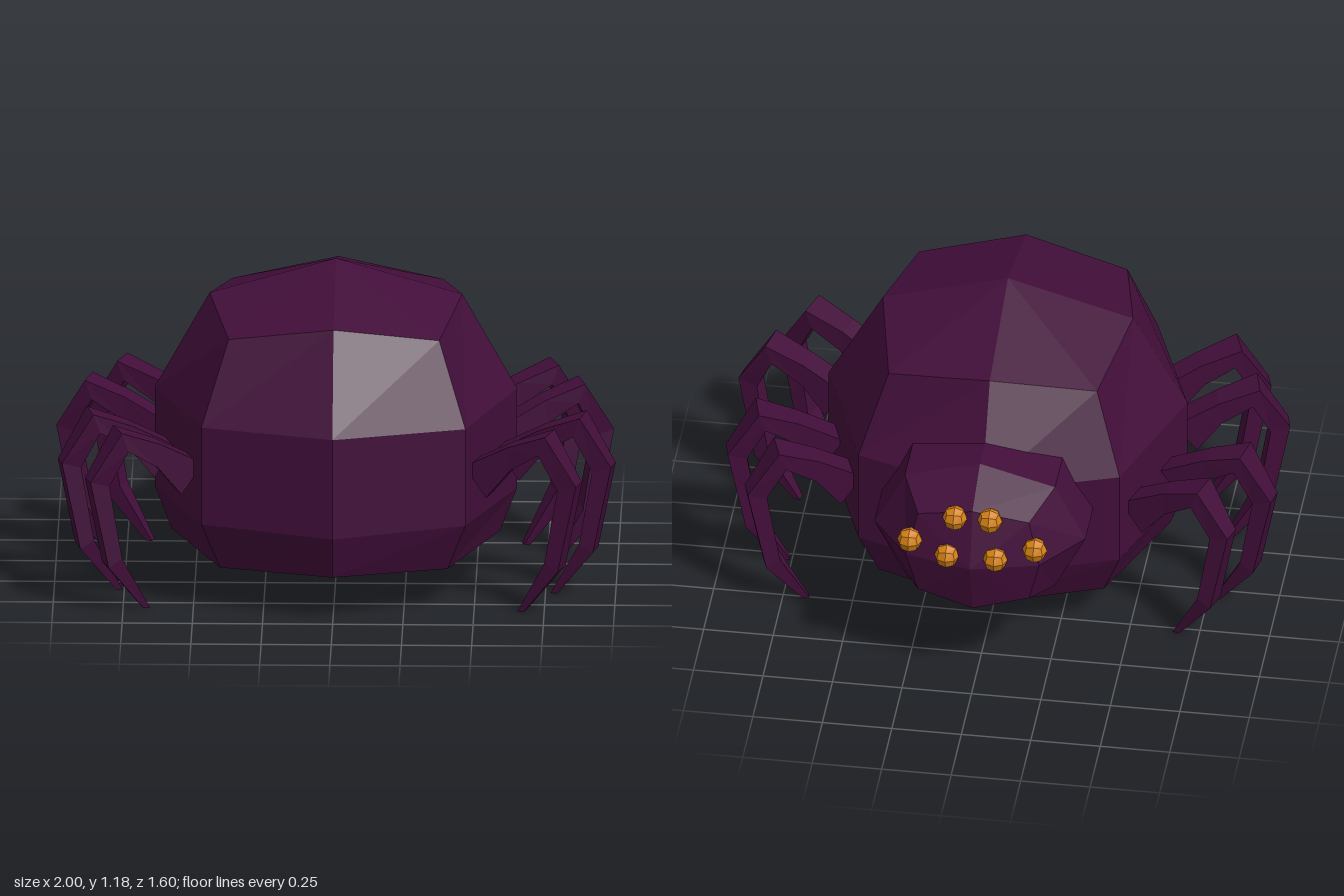
import * as THREE from 'three';

const purple = new THREE.MeshStandardMaterial({ color: 0x420e3a, flatShading: true });
purple.name = 'dark purple';
const orange = new THREE.MeshStandardMaterial({ color: 0xd4820f, flatShading: true });
orange.name = 'amber';

const CENTRE_Z = 0.153;

// Skin rings of points (counter-clockwise seen from the end) and close both ends with fans.
function loft(rings, startPoint, endPoint) {
  const pos = [];
  const tri = (...pts) => pts.forEach((p) => pos.push(...p));
  const middle = (ring) => [0, 1, 2].map((k) => ring.reduce((s, p) => s + p[k], 0) / ring.length);
  const n = rings[0].length;
  const first = rings[0], last = rings[rings.length - 1];
  const start = startPoint || middle(first), end = endPoint || middle(last);
  for (let j = 0; j < n; j++) {
    const k = (j + 1) % n;
    tri(start, first[k], first[j]);
    for (let i = 0; i < rings.length - 1; i++) {
      const a = rings[i][j], b = rings[i][k], c = rings[i + 1][k], d = rings[i + 1][j];
      tri(a, b, c);
      tri(a, c, d);
    }
    tri(end, last[j], last[k]);
  }
  const geo = new THREE.BufferGeometry();
  geo.setAttribute('position', new THREE.Float32BufferAttribute(pos, 3));
  geo.computeVertexNormals();
  return geo;
}

function part(name, geo, material) {
  const mesh = new THREE.Mesh(geo, material);
  mesh.name = name;
  return mesh;
}

// Eight-sided abdomen: [axis radius, axis height, diagonal offset, diagonal height]
function abdomenGeometry() {
  const levels = [
    [0.585, 0.17, 0.405, 0.15],
    [0.645, 0.33, 0.47, 0.33],
    [0.645, 0.7, 0.47, 0.69],
    [0.45, 1.05, 0.375, 0.99],
  ];
  const rings = levels.map(([r, y, d, dy]) =>
    Array.from({ length: 8 }, (_, i) => {
      const a = (i * Math.PI) / 4, diagonal = i % 2 === 1;
      const radius = diagonal ? d * Math.SQRT2 : r;
      return [Math.cos(a) * radius, diagonal ? dy : y, CENTRE_Z - Math.sin(a) * radius];
    }));
  return loft(rings, [0, 0.145, CENTRE_Z], [0, 1.18, CENTRE_Z]);
}

// Eight-sided head: [half width, half height, z, diagonal x, diagonal y, diagonal z]
function headGeometry() {
  const sections = [
    [0.38, 0.28, -0.3, 0.27, 0.21, -0.3],
    [0.38, 0.29, -0.54, 0.27, 0.215, -0.54],
    [0.24, 0.212, -0.725, 0.2, 0.165, -0.7],
  ];
  const rings = sections.map(([w, h, z, dx, dy, dz]) =>
    Array.from({ length: 8 }, (_, i) => {
      const c = Math.sign(Math.round(Math.cos((i * Math.PI) / 4) * 2));
      const s = Math.sign(Math.round(Math.sin((i * Math.PI) / 4) * 2));
      return i % 2 ? [-c * dx, 0.57 + s * dy, dz] : [-c * w, 0.57 + s * h, z];
    }));
  return loft(rings, null, [0, 0.57, -0.785]);
}

// Arched leg with its foot at the origin: [outer u, outer y, inner u, inner y, half width]
function legGeometry() {
  const sections = [
    [-0.2, 0.53, -0.12, 0.42, 0.045],
    [-0.04, 0.615, -0.03, 0.53, 0.045],
    [0.105, 0.67, 0.08, 0.6, 0.055],
    [0.215, 0.49, 0.145, 0.47, 0.034],
    [0.15, 0.17, 0.1, 0.2, 0.042],
    [0.012, 0, -0.012, 0, 0.014],
  ];
  return loft(sections.map(([ou, oy, iu, iy, w]) => [
    [ou, oy, w], [iu, iy, w], [iu, iy, -w], [ou, oy, -w],
  ]));
}

// Small faceted ball made from a subdivided cube
function eyeGeometry(radius) {
  const geo = new THREE.BoxGeometry(1, 1, 1, 2, 2, 2).toNonIndexed();
  const p = geo.attributes.position, v = new THREE.Vector3();
  for (let i = 0; i < p.count; i++) {
    v.fromBufferAttribute(p, i).setLength(radius);
    p.setXYZ(i, v.x, v.y, v.z);
  }
  geo.computeVertexNormals();
  return geo;
}

export function createModel() {
  const model = new THREE.Group();
  model.name = 'spider';
  model.add(part('abdomen', abdomenGeometry(), purple), part('head', headGeometry(), purple));

  // Four legs per side; the second side is the first turned half around the abdomen.
  const legGeo = legGeometry();
  const feet = [
    [0.67, -0.245, -18],
    [0.77, -0.025, -14],
    [0.783, 0.345, 13],
    [0.67, 0.57, 18],
  ];
  for (const side of ['left', 'right']) {
    const legs = new THREE.Group();
    legs.name = side + 'Legs';
    legs.position.z = CENTRE_Z;
    legs.rotation.y = side === 'right' ? Math.PI : 0;
    feet.forEach(([x, z, angle], i) => {
      const leg = part(side + 'Leg' + (i + 1), legGeo, purple);
      leg.position.set(x, 0, z - CENTRE_Z);
      leg.rotation.y = -THREE.MathUtils.degToRad(angle);
      legs.add(leg);
    });
    model.add(legs);
  }

  // Three pairs of eyes
  const eyeGeo = eyeGeometry(0.045);
  const eyes = [
    ['upperEye', 0.063, 0.75, -0.727],
    ['middleEye', 0.087, 0.607, -0.76],
    ['outerEye', 0.225, 0.64, -0.73],
  ];
  for (const [name, x, y, z] of eyes) {
    for (const s of [1, -1]) {
      const eye = part(name, eyeGeo, orange);
      eye.position.set(s * x, y, z);
      model.add(eye);
    }
  }
  return model;
}
